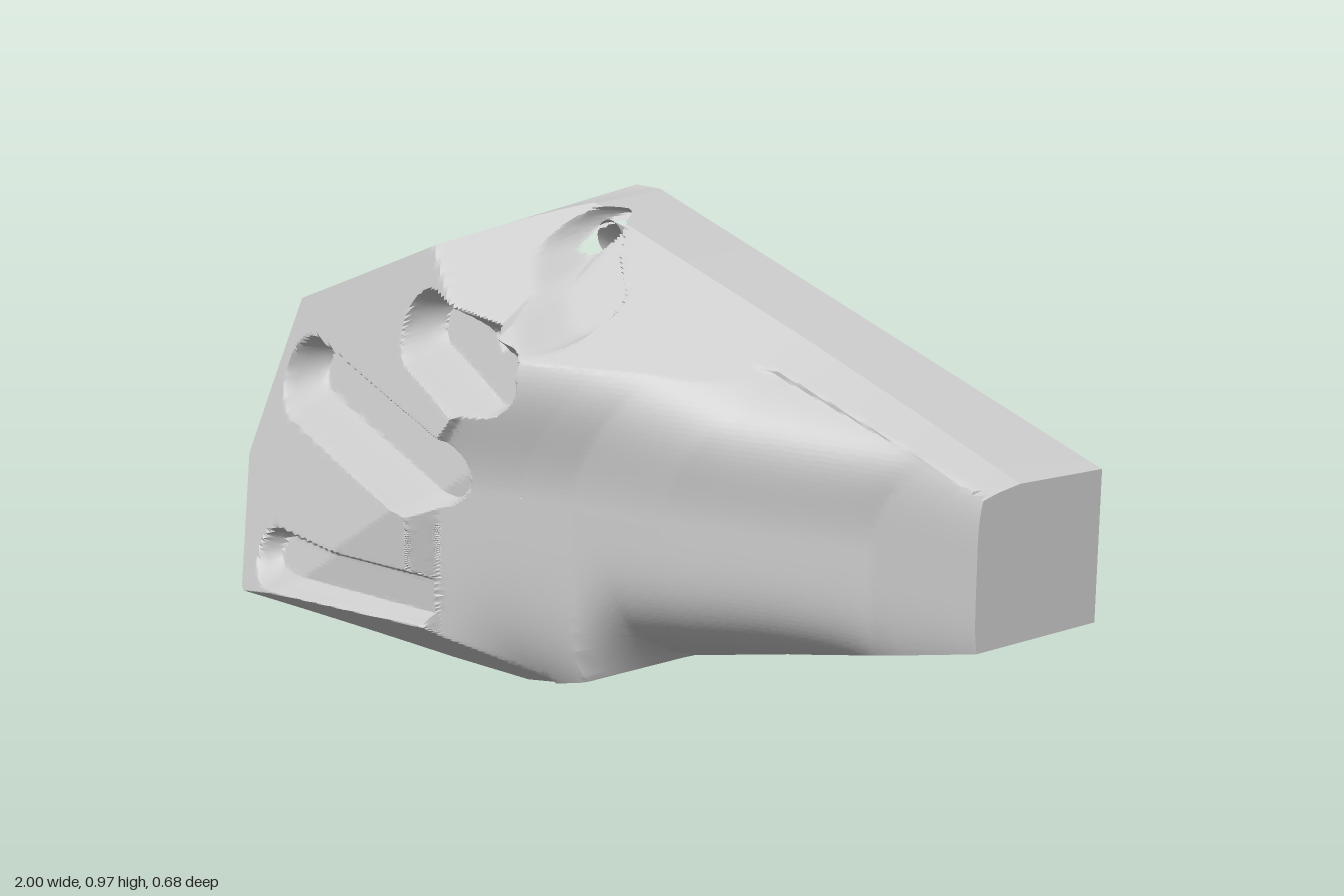
import * as THREE from 'three';
import { toCreasedNormals } from 'three/addons/utils/BufferGeometryUtils.js';

const BACK = -0.34, FRONT = 0.34;
const { lerp, clamp, smoothstep } = THREE.MathUtils;

// Block corners, counter-clockwise: x, y on the back plane, then x, y on the front plane
const corners = [
  [-1, 0.36, -0.86, 0.36], [-1, 0.36, -0.76, 0.1], [-0.06, 0.025, -0.38, 0.03],
  [-0.06, 0.025, -0.14, 0.0], [1, 0.31, 0.86, 0.29], [1, 0.61, 0.86, 0.62],
  [-0.15, 0.98, -0.15, 0.97], [-0.22, 0.98, -0.38, 0.865], [-0.9, 0.72, -0.79, 0.69],
];

// Finger channels: centre line, radius, depth
const fingers = [
  { path: [[-0.73, 0.555], [-0.43, 0.515], [-0.15, 0.48]], r: 0.087, d: 0.1 },
  { path: [[-0.67, 0.195], [-0.42, 0.21], [-0.17, 0.225]], r: 0.062, d: 0.055 },
  { path: [[-0.29, 0.74], [-0.16, 0.71], [-0.04, 0.68]], r: 0.08, d: 0.1 },
  { path: [[-0.11, 0.92], [-0.04, 0.85], [0.03, 0.8]], r: 0.055, d: 0.08 },
];

// Vent from the top fingertip slanting down to the back, and one in the left end
const ventFront = { x: -0.11, y: 0.91, r: 0.028 };
const ventBack = { x: -0.18, y: 0.83, r: 0.036 };
const sideVent = { y: 0.56, z: 0.07, r: 0.035 };

// Height along the middle of the palm, from knuckles to wrist
const ridge = [[-0.24, 0.44], [-0.16, 0.28], [0, 0.2], [0.1, 0.155], [0.3, 0.1], [0.45, 0.045], [0.7, -0.045], [1.1, -0.06]];
// Height of the lower edge of the palm
const lowerRim = [[-0.1, 0.13], [0.1, 0.12], [0.18, -0.12], [0.45, -0.115], [0.75, -0.07], [1.1, -0.06]];

function sample(table, x) {
  if (x <= table[0][0]) return table[0][1];
  const i = Math.max(1, table.findIndex((p) => x <= p[0]));
  const [x0, z0] = table[i - 1], [x1, z1] = table[i];
  return lerp(z0, z1, (x - x0) / (x1 - x0));
}

function pathDistance(x, y, path) {
  let best = Infinity;
  for (let i = 1; i < path.length; i++) {
    const [ax, ay] = path[i - 1], dx = path[i][0] - ax, dy = path[i][1] - ay;
    const t = clamp(((x - ax) * dx + (y - ay) * dy) / (dx * dx + dy * dy), 0, 1);
    best = Math.min(best, Math.hypot(x - ax - t * dx, y - ay - t * dy));
  }
  return best;
}

// Front height: bevelled block, cut by the finger channels and the palm
function height(x, y) {
  const along = x + 0.15, below = 0.98 - 0.321 * along - y;
  const block = Math.min(
    FRONT,
    0.55 + 0.25 * x - 0.375 * y,
    0.05 - 0.16 * x + 1.45 * y + Math.max(0, x) * 0.6,
    1.42 - 0.788 * x - 1.725 * y + Math.max(0, x + 0.1) * 1.5,
    -0.15 - 0.036 * along + lerp(2, 4, clamp((x - 0.4) / 0.55, 0, 1)) * below,
  );
  let z = block;
  for (const { path, r, d } of fingers) {
    const q = pathDistance(x, y, path) / r;
    if (q < 1) z = Math.min(z, block - d * Math.min(1, 1.5 * (1 - q * q)));
  }
  const top = 0.82 - (x - 0.1) * 0.26, bottom = 0.04 + 0.26 * x;
  const t = (2 * y - top - bottom) / (top - bottom);
  const crest = sample(ridge, x - 0.2 * smoothstep(y, 0.45, 0.85));
  const rim = t > 0 ? lerp(0.1, -0.065, clamp((x - 0.05) / 0.38, 0, 1)) : sample(lowerRim, x);
  const fall = Math.min(1, Math.abs(t)) ** 4 * smoothstep(x, -0.2, -0.02);
  const palm = crest - Math.max(0, crest - rim) * fall;
  return Math.max(BACK + 0.05, Math.min(z, palm));
}

// Evenly spaced stations round the side walls; rim is where wall meets front
function makeStations() {
  const list = [];
  corners.forEach((a, i) => {
    const b = corners[(i + 1) % corners.length];
    const n = Math.max(3, Math.round(Math.hypot(b[2] - a[2], b[3] - a[3]) / 0.0105));
    for (let k = 0; k < n; k++) {
      const c = a.map((v, j) => lerp(v, b[j], k / n));
      const at = (t) => [lerp(c[0], c[2], t), lerp(c[1], c[3], t), lerp(BACK, FRONT, t)];
      let lo = 0, hi = 1;
      for (let s = 0; s < 24; s++) {
        const m = (lo + hi) / 2, p = at(m);
        if (p[2] < height(p[0], p[1])) lo = m; else hi = m;
      }
      list.push({ at, t: lo, rim: at(lo) });
    }
  });
  return list;
}

// Thumb channel pressed up into the underside, opening under the palm
function pressThumb([x, y, z], isRim) {
  const reach = smoothstep(x, -0.37, -0.27) * (1 - smoothstep(x, 0.12, 0.19));
  const q = Math.abs(z + 0.085 - 0.12 * x) / 0.065;
  if (isRim || y > 0.25 || q >= 1) return [x, y, z];
  return [x, y + 0.09 * reach * Math.sqrt(1 - q * q), z];
}

// Closed rows of points joined by quads; faces inside a vent are left open
function gridGeometry(rows, open) {
  const n = rows[0].length, index = [];
  const pts = rows.flat();
  const add = (a, b, c) => {
    const m = [0, 1, 2].map((k) => (pts[a][k] + pts[b][k] + pts[c][k]) / 3);
    if (!open(m)) index.push(a, b, c);
  };
  for (let r = 0; r < rows.length - 1; r++) {
    for (let i = 0; i < n; i++) {
      const j = (i + 1) % n, a = r * n + i, b = r * n + j;
      add(a, b, b + n);
      add(a, b + n, a + n);
    }
  }
  const g = new THREE.BufferGeometry();
  g.setAttribute('position', new THREE.Float32BufferAttribute(pts.flat(), 3));
  g.setIndex(index);
  return toCreasedNormals(g, 0.6);
}

export function createModel() {
  const group = new THREE.Group();
  const material = new THREE.MeshStandardMaterial({ color: 0xcccccc });
  const inside = new THREE.MeshStandardMaterial({ color: 0xcccccc, side: THREE.DoubleSide });
  const addPart = (name, geometry, mat = material) => {
    const mesh = new THREE.Mesh(geometry, mat);
    mesh.name = name;
    group.add(mesh);
    return mesh;
  };
  const stations = makeStations();

  // Carved front, from the rim in to the middle of the palm
  const RINGS = 112, cx = 0, cy = 0.45, front = [];
  for (let r = 0; r <= RINGS; r++) {
    const s = 1 - (r / RINGS) * 0.998;
    front.push(stations.map(({ rim }) => {
      if (r === 0) return rim;
      const x = lerp(cx, rim[0], s), y = lerp(cy, rim[1], s);
      return [x, y, height(x, y)];
    }));
  }
  addPart('handHollow', gridGeometry(front, ([x, y]) =>
    Math.hypot(x - ventFront.x, y - ventFront.y) < ventFront.r));

  // Drafted side walls
  const ROWS = 40, walls = [];
  for (let r = 0; r <= ROWS; r++) {
    walls.push(stations.map(({ at, t }) => pressThumb(at(t * r / ROWS), r === ROWS)));
  }
  addPart('sideWalls', gridGeometry(walls, ([x, y, z]) =>
    x < -0.7 && Math.hypot((y - sideVent.y) * 0.8, z - sideVent.z) < sideVent.r * 0.8));

  // Flat back with the vent opening
  const outline = new THREE.Shape(corners.filter((c, i) => i !== 1 && i !== 3)
    .map(([x, y]) => new THREE.Vector2(-x, y)));
  const hole = new THREE.Path();
  hole.absarc(-ventBack.x, ventBack.y, ventBack.r, 0, Math.PI * 2, true);
  outline.holes.push(hole);
  const back = new THREE.ShapeGeometry(outline, 24);
  back.rotateY(Math.PI);
  back.translate(0, 0, BACK);
  addPart('backFace', back);

  // Slanted back vent: an upright bore sheared so both ends stay flat
  const depth = height(ventFront.x, ventFront.y) - BACK - 0.01;
  const bore = new THREE.CylinderGeometry(ventBack.r, ventBack.r, depth, 24, 1, true);
  bore.rotateX(Math.PI / 2);
  bore.translate(0, 0, depth / 2);
  bore.applyMatrix4(new THREE.Matrix4().set(
    1, 0, (ventFront.x - ventBack.x) / depth, ventBack.x,
    0, 1, (ventFront.y - ventBack.y) / depth, ventBack.y,
    0, 0, 1, BACK,
    0, 0, 0, 1));
  addPart('backVent', bore, inside);

  // Short vent in the left end
  const side = addPart('sideVent',
    new THREE.CylinderGeometry(sideVent.r, sideVent.r, 0.05, 20, 1, true), inside);
  side.rotation.z = Math.PI / 2;
  side.position.set(-0.84, sideVent.y, sideVent.z);
  return group;
}
